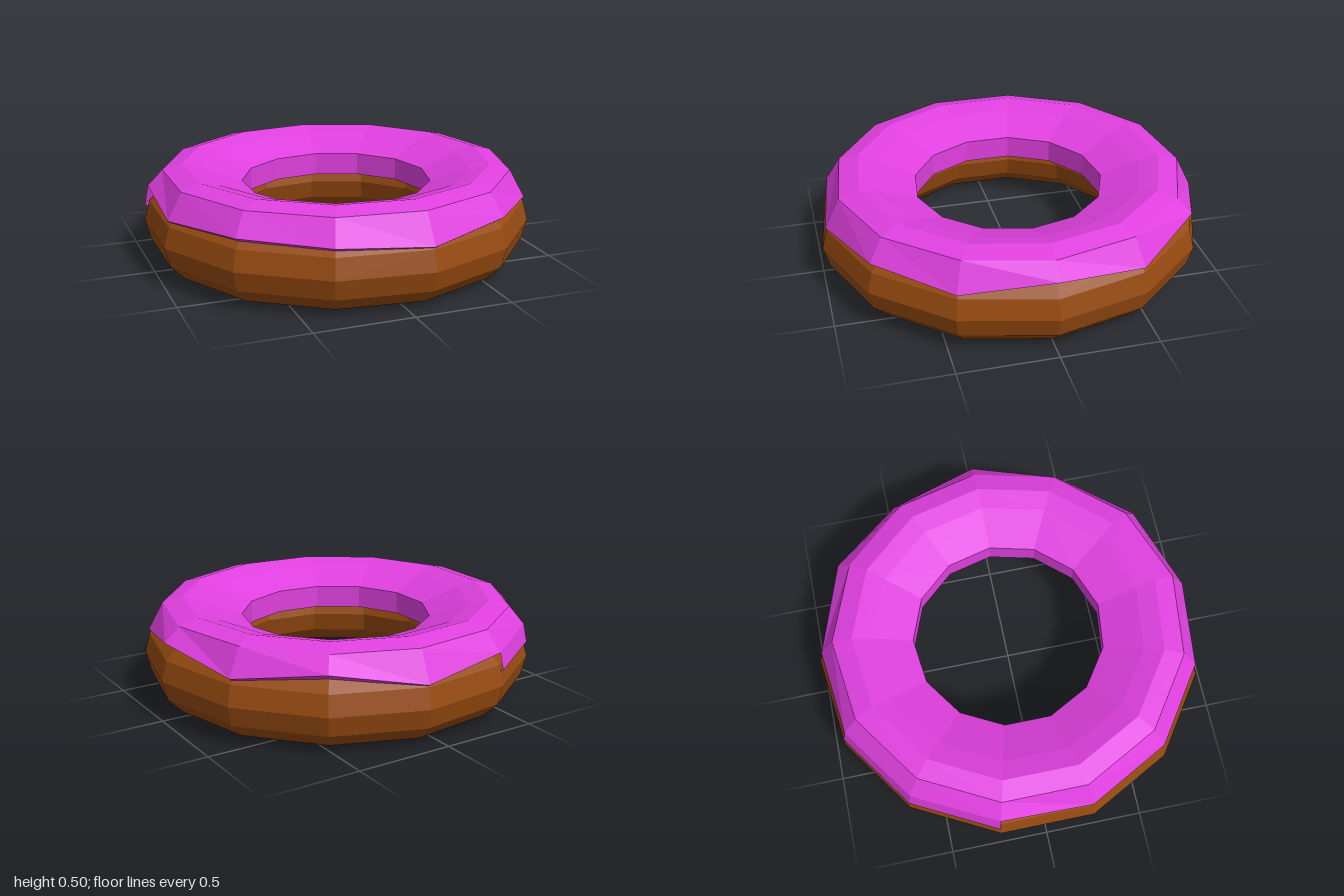
import * as THREE from 'three';

const SIDES = 13;
const OFFSET_X = -0.015; // centres the odd-sided ring on x = 0

// Point on the ring at side i, radius r and height y
function ringPoint(i, r, y) {
  const a = ((i % SIDES) / SIDES) * Math.PI * 2;
  return [Math.cos(a) * r + OFFSET_X, y, Math.sin(a) * r];
}

// Skin between sides first..last; profile(i) gives [radius, height] pairs
function ringLoft(first, last, profile) {
  const positions = [];
  for (let i = first; i < last; i++) {
    const p = profile(i % SIDES).map(([r, y]) => ringPoint(i, r, y));
    const q = profile((i + 1) % SIDES).map(([r, y]) => ringPoint(i + 1, r, y));
    for (let j = 0; j < p.length - 1; j++) {
      positions.push(...p[j], ...q[j], ...p[j + 1], ...q[j], ...q[j + 1], ...p[j + 1]);
    }
  }
  const geometry = new THREE.BufferGeometry();
  geometry.setAttribute('position', new THREE.Float32BufferAttribute(positions, 3));
  geometry.computeVertexNormals();
  return geometry;
}

export function createModel() {
  const group = new THREE.Group();
  const doughMaterial = new THREE.MeshStandardMaterial({ color: 0x964a10, flatShading: true });
  const icingMaterial = new THREE.MeshStandardMaterial({
    color: 0xe040e0, flatShading: true, side: THREE.DoubleSide,
  });

  const add = (name, geometry, material) => {
    const mesh = new THREE.Mesh(geometry, material);
    mesh.name = name;
    group.add(mesh);
  };

  // Dough ring
  const dough = new THREE.TorusGeometry(0.802, 0.205, 12, SIDES);
  dough.rotateX(-Math.PI / 2);
  dough.translate(OFFSET_X, 0.205, 0);
  add('dough', dough, doughMaterial);

  // Icing with a wavy outer rim and a lip overhanging the hole
  const rim = [0.4, 0.33, 0.36, 0.32, 0.35, 0.36, 0.34, 0.39, 0.38, 0.37, 0.318, 0.4, 0.335];
  add('icing', ringLoft(0, SIDES, (i) => [
    [0.62, 0.265],
    [0.497, 0.28],
    [0.495, 0.4],
    [0.7, 0.475],
    [0.802, 0.5],
    [0.905, 0.473],
    [0.983, rim[i]],
    [0.92, rim[i] - 0.04],
  ]), icingMaterial);

  // Drip hanging below the rim over two sides
  add('icingDrip', ringLoft(7, 9, (i) => [
    [0.983, rim[i]],
    [1.003, 0.285],
    [0.975, 0.275],
  ]), icingMaterial);

  return group;
}
